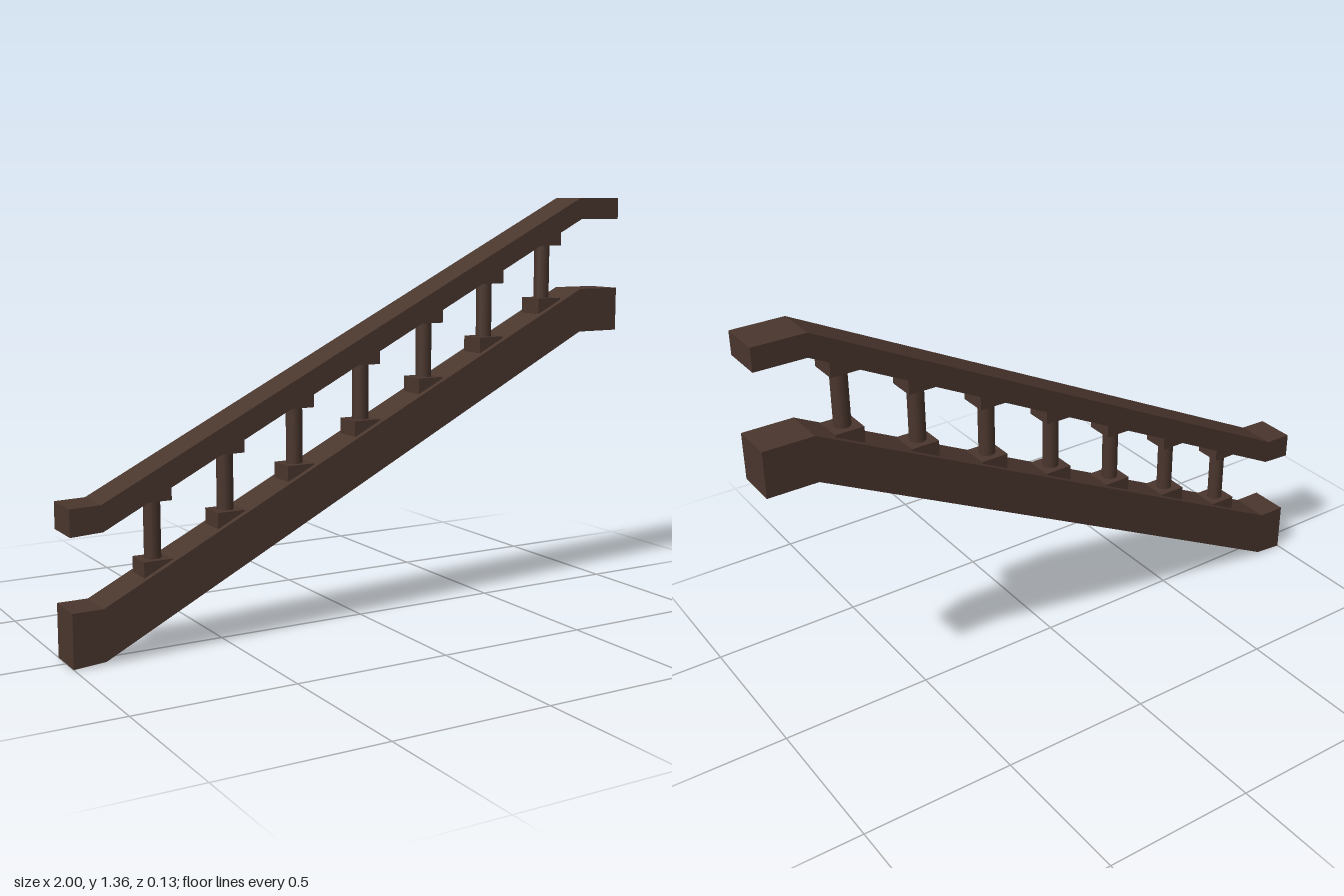
import * as THREE from 'three';

export function createModel() {
  const model = new THREE.Group();
  model.name = 'stairRailing';
  const wood = new THREE.MeshStandardMaterial({ color: 0x4a362d });
  wood.name = 'dark wood';

  const depth = 0.134;
  const add = (parent, geometry, name, x = 0, y = 0) => {
    const mesh = new THREE.Mesh(geometry, wood);
    mesh.name = name;
    mesh.position.set(x, y, 0);
    parent.add(mesh);
  };

  // Sloping beam with level ends, extruded across its depth
  const beam = (name, outline) => {
    const shape = new THREE.Shape(outline.map(([x, y]) => new THREE.Vector2(x, y)));
    const geometry = new THREE.ExtrudeGeometry(shape, { depth, bevelEnabled: false });
    geometry.translate(0, 0, -depth / 2);
    add(model, geometry, name);
  };
  beam('baseRail', [
    [-1, 0], [-0.9, 0.008], [0.84, 0.898], [1, 0.898],
    [1, 1.045], [0.84, 1.045], [-0.905, 0.167], [-1, 0.167],
  ]);
  beam('handRail', [
    [-1, 0.39], [-0.9, 0.395], [0.84, 1.283], [1, 1.283],
    [1, 1.355], [0.835, 1.355], [-0.905, 0.475], [-1, 0.473],
  ]);

  // Seven balusters: round shaft between square blocks let into the rails
  const shaft = new THREE.CylinderGeometry(0.026, 0.026, 0.2, 12);
  const block = new THREE.BoxGeometry(0.092, 0.055, 0.092);
  for (let i = -3; i <= 3; i++) {
    const baluster = new THREE.Group();
    baluster.name = 'baluster' + (i + 4);
    baluster.position.set(i * 0.241, 0.65 + i * 0.122, 0);
    add(baluster, block, 'footBlock', 0, -0.0275);
    add(baluster, shaft, 'shaft', 0, 0.09);
    add(baluster, block, 'capBlock', 0, 0.2055);
    model.add(baluster);
  }
  return model;
}
